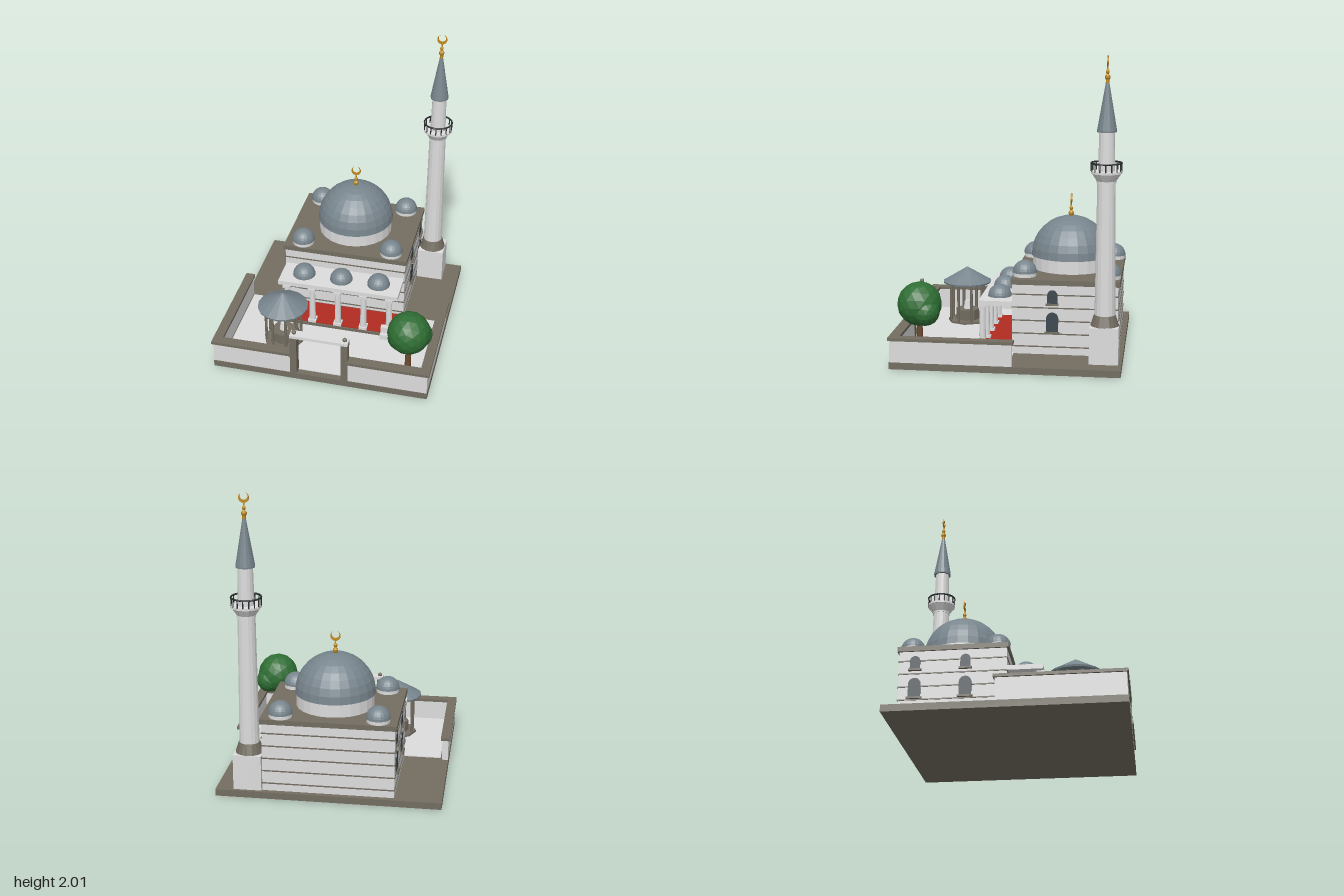
import * as THREE from 'three';

const mat = (name, color) => {
  const m = new THREE.MeshStandardMaterial({ color, flatShading: true });
  m.name = name;
  return m;
};

export function createModel() {
  const stone = mat('pale stone', 0xdcdcdc);
  const trim = mat('brown stone', 0x736d61);
  const lead = mat('lead grey', 0x78858d);
  const gold = mat('gold', 0xc08c22);
  const iron = mat('dark iron', 0x2b2d30);
  const glass = mat('dark glass', 0x3c474e);
  const carpet = mat('red carpet', 0xb02c20);
  const leaf = mat('leaf green', 0x2f6e34);
  const bark = mat('bark', 0x6b4a30);

  const model = new THREE.Group();
  const add = (name, geo, m, x = 0, y = 0, z = 0, parent = model) => {
    const mesh = new THREE.Mesh(geo, m);
    mesh.name = name;
    mesh.position.set(x, y, z);
    parent.add(mesh);
    return mesh;
  };
  // Box given by its limits on each axis
  const box = (name, m, x0, x1, y0, y1, z0, z1) =>
    add(name, new THREE.BoxGeometry(x1 - x0, y1 - y0, z1 - z0), m, (x0 + x1) / 2, (y0 + y1) / 2, (z0 + z1) / 2);
  // Upright cylinder or cone from y0 to y1
  const cyl = (name, m, x, z, y0, y1, r0, r1, sides = 16) =>
    add(name, new THREE.CylinderGeometry(r1, r0, y1 - y0, sides), m, x, (y0 + y1) / 2, z);
  const dome = (name, x, y, z, r, w, h) =>
    add(name, new THREE.SphereGeometry(r, w, h, 0, Math.PI * 2, 0, Math.PI / 2), lead, x, y, z);

  // Crescent finial
  const moon = new THREE.Shape();
  const a = 0.95;
  moon.absarc(0, 0, 0.034, Math.PI / 2 + a - 0.25, Math.PI / 2 - a + 0.25 + Math.PI * 2, false);
  moon.absarc(0, 0.011, 0.026, Math.PI / 2 - a + 0.35, Math.PI / 2 + a - 0.35 - Math.PI * 2, true);
  const finial = (name, x, y, z) => {
    const g = new THREE.Group();
    g.name = name;
    g.position.set(x, y, z);
    const pts = [[0.012, -0.02], [0.012, 0], [0.018, 0.012], [0.018, 0.022], [0.007, 0.036], [0.012, 0.046],
      [0.012, 0.054], [0.005, 0.064], [0.004, 0.09], [0, 0.092]].map(p => new THREE.Vector2(...p));
    add('finialStem', new THREE.LatheGeometry(pts, 10), gold, 0, 0, 0, g);
    const geo = new THREE.ExtrudeGeometry(moon, { depth: 0.008, bevelEnabled: false, curveSegments: 14 });
    add('crescent', geo, gold, 0, 0.115, -0.004, g);
    model.add(g);
  };

  // Ground slab and courtyard
  box('baseSlab', trim, -0.745, 0.745, 0, 0.045, -0.75, 0.745);
  box('courtyardPaving', stone, -0.69, 0.69, 0.045, 0.051, -0.03, 0.7);

  // Courtyard walls with copings, and the gate
  for (const s of [-1, 1]) {
    const span = (name, m, a0, a1, ...rest) =>
      box(name, m, Math.min(s * a0, s * a1), Math.max(s * a0, s * a1), ...rest);
    span('sideWall', stone, 0.7, 0.742, 0.045, 0.19, -0.055, 0.74);
    span('sideCoping', trim, 0.69, 0.755, 0.19, 0.21, -0.065, 0.75);
    span('frontWall', stone, 0.2, 0.7, 0.045, 0.19, 0.692, 0.74);
    span('frontCoping', trim, 0.19, 0.69, 0.19, 0.21, 0.68, 0.75);
    span('gatePost', trim, 0.153, 0.2, 0.045, 0.345, 0.688, 0.743);
    add('gateKnob', new THREE.SphereGeometry(0.016, 8, 6), trim, s * 0.175, 0.374, 0.712);
  }
  box('gateLintel', stone, -0.2, 0.2, 0.345, 0.366, 0.68, 0.746);

  // Prayer hall with string courses and cornice
  box('hallWalls', stone, -0.435, 0.435, 0.045, 0.515, -0.715, -0.02);
  for (let i = 0; i < 5; i++) {
    const y = 0.0975 + i * 0.0875;
    box('stringCourse', trim, -0.439, 0.439, y - 0.004, y + 0.004, -0.719, -0.016);
  }
  box('cornice', trim, -0.447, 0.447, 0.513, 0.547, -0.727, -0.01);

  // Arched windows with sills
  const arched = (w, h) => {
    const s = new THREE.Shape();
    s.moveTo(-w / 2, 0);
    s.lineTo(w / 2, 0);
    s.lineTo(w / 2, h - w / 2);
    s.absarc(0, h - w / 2, w / 2, 0, Math.PI, false);
    return new THREE.ExtrudeGeometry(s, { depth: 0.008, bevelEnabled: false, curveSegments: 8 });
  };
  const windowAt = (x, y, z, turn, w, h) => {
    const g = new THREE.Group();
    g.name = 'window';
    g.position.set(x, y, z);
    g.rotation.y = turn;
    add('windowPane', arched(w, h), glass, 0, 0, 0, g);
    add('windowSill', new THREE.BoxGeometry(w + 0.018, 0.012, 0.024), trim, 0, -0.005, 0.008, g);
    model.add(g);
  };
  for (const s of [-1, 1]) {
    for (const z of [-0.285, -0.61]) {
      windowAt(s * 0.434, 0.2, z, s * Math.PI / 2, 0.08, 0.13);
      windowAt(s * 0.434, 0.39, z, s * Math.PI / 2, 0.066, 0.09);
    }
    windowAt(s * 0.285, 0.2, -0.021, 0, 0.08, 0.13);
  }

  // Main dome and four corner domes
  cyl('mainDrum', stone, 0, -0.37, 0.545, 0.637, 0.262, 0.262, 24);
  dome('mainDome', 0, 0.635, -0.37, 0.27, 24, 8);
  finial('mainFinial', 0, 0.905, -0.37);
  for (const x of [-0.32, 0.32]) for (const z of [-0.65, -0.09]) {
    cyl('cornerDrum', stone, x, z, 0.545, 0.576, 0.077, 0.077, 20);
    dome('cornerDome', x, 0.572, z, 0.081, 20, 8);
  }

  // Portico with columns, small domes and carpet
  box('porticoFloor', trim, -0.42, 0.42, 0.045, 0.072, -0.02, 0.225);
  box('porticoCarpet', carpet, -0.41, 0.41, 0.072, 0.077, -0.01, 0.215);
  box('porticoRoof', stone, -0.43, 0.43, 0.362, 0.394, -0.02, 0.207);
  for (let i = -2; i <= 2; i++) {
    const x = i * 0.185;
    box('columnPlinth', stone, x - 0.029, x + 0.029, 0.072, 0.092, 0.16, 0.217);
    cyl('column', stone, x, 0.189, 0.09, 0.345, 0.023, 0.02, 12);
    box('columnCapital', stone, x - 0.027, x + 0.027, 0.342, 0.363, 0.162, 0.215);
  }
  for (const x of [-0.27, 0, 0.27]) dome('porticoDome', x, 0.393, 0.085, 0.08, 20, 8);

  // Courtyard bench
  box('benchBack', stone, 0.32, 0.555, 0.05, 0.135, 0.2, 0.235);
  box('benchSeat', stone, 0.32, 0.555, 0.05, 0.09, 0.235, 0.265);

  // Minaret
  const mx = 0.532, mz = -0.635;
  box('minaretBase', stone, 0.44, 0.627, 0.045, 0.285, -0.728, -0.54);
  cyl('minaretCollar', trim, mx, mz, 0.285, 0.355, 0.093, 0.07);
  cyl('minaretShaft', stone, mx, mz, 0.35, 1.225, 0.067, 0.058);
  cyl('shaftRing', stone, mx, mz, 1.212, 1.228, 0.063, 0.063);
  cyl('balconyFlare', stone, mx, mz, 1.22, 1.275, 0.06, 0.096);
  cyl('balconyFloor', stone, mx, mz, 1.273, 1.288, 0.1, 0.1);
  for (let i = 0; i < 16; i++) {
    const t = i / 16 * Math.PI * 2;
    cyl('baluster', iron, mx + 0.097 * Math.cos(t), mz + 0.097 * Math.sin(t), 1.285, 1.34, 0.004, 0.004, 6);
  }
  add('balconyRail', new THREE.TorusGeometry(0.097, 0.006, 6, 32).rotateX(Math.PI / 2), iron, mx, 1.339, mz);
  cyl('upperShaft', stone, mx, mz, 1.285, 1.545, 0.054, 0.049);
  cyl('spireRing', lead, mx, mz, 1.535, 1.548, 0.062, 0.062);
  cyl('spire', lead, mx, mz, 1.545, 1.875, 0.063, 0.006);
  finial('minaretFinial', mx, 1.863, mz);

  // Ablution fountain
  const fx = -0.337, fz = 0.41;
  cyl('fountainStep', trim, fx, fz, 0.045, 0.066, 0.14, 0.14, 8);
  cyl('fountainBasin', trim, fx, fz, 0.06, 0.14, 0.085, 0.085, 8);
  cyl('fountainCore', stone, fx, fz, 0.14, 0.2, 0.03, 0.02, 8);
  for (let i = 0; i < 8; i++) {
    const t = (i + 0.5) / 8 * Math.PI * 2;
    cyl('fountainColumn', trim, fx + 0.122 * Math.cos(t), fz + 0.122 * Math.sin(t), 0.06, 0.345, 0.01, 0.01, 8);
  }
  cyl('fountainEave', lead, fx, fz, 0.336, 0.348, 0.172, 0.175);
  cyl('fountainRoof', lead, fx, fz, 0.347, 0.45, 0.175, 0.002);

  // Tree
  cyl('treeTrunk', bark, 0.58, 0.57, 0.045, 0.3, 0.024, 0.017, 8);
  for (const [r, x, y, z] of [[0.146, 0.58, 0.4, 0.57], [0.093, 0.638, 0.362, 0.52], [0.075, 0.515, 0.352, 0.585]])
    add('treeCrown', new THREE.IcosahedronGeometry(r, 2), leaf, x, y, z);

  return model;
}
